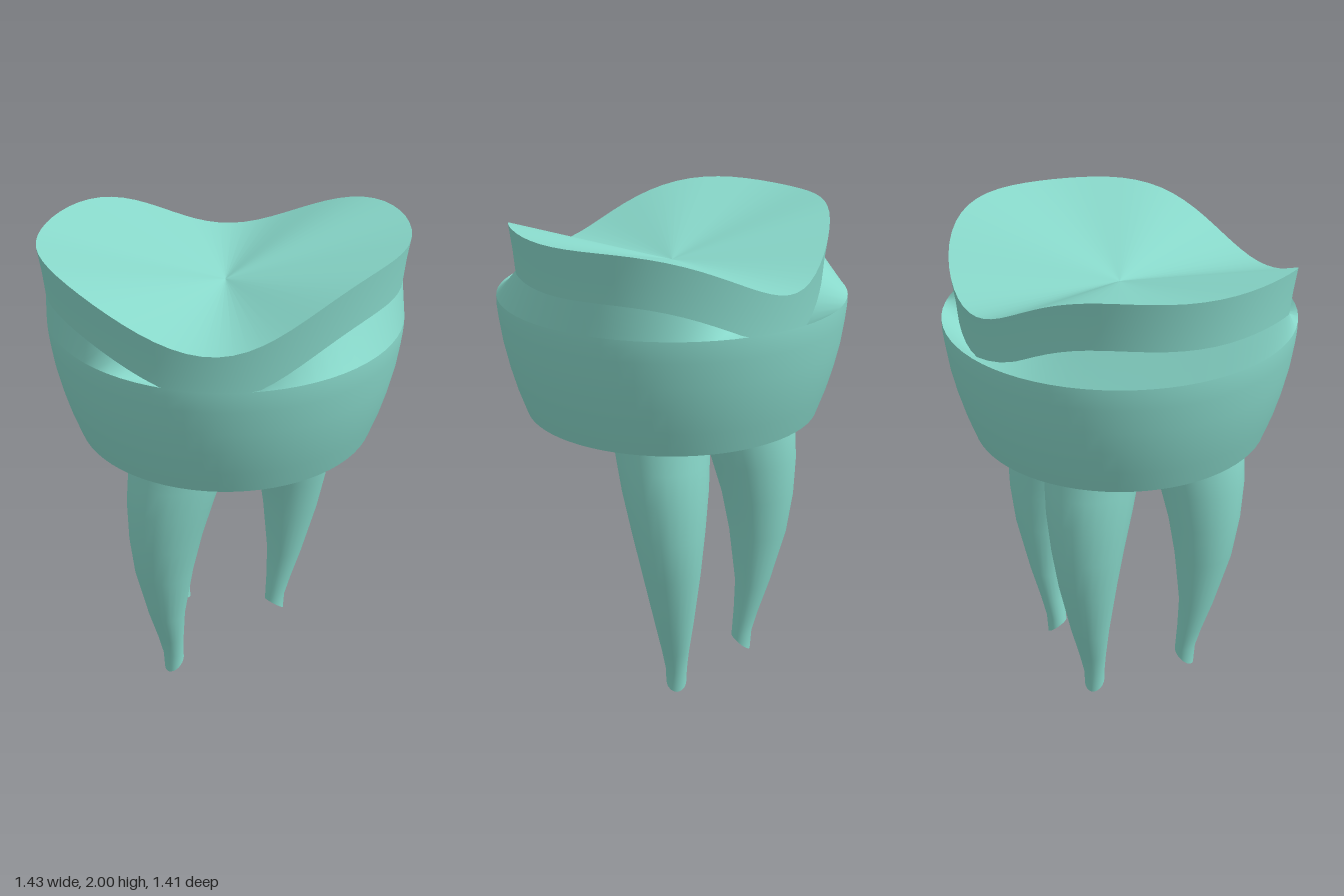
import * as THREE from 'three';

const enamel = new THREE.MeshStandardMaterial({ color: 0x88d8ca });
enamel.name = 'mint enamel';
const TAU = Math.PI * 2;

// Skin a stack of closed rings, ordered so that faces point outward.
// Each ring is a function of the angle giving [x, y, z].
function loft(name, rings, n) {
  const pos = [], idx = [];
  for (const ring of rings) for (let j = 0; j < n; j++) pos.push(...ring(j / n * TAU));
  for (let i = 0; i < rings.length - 1; i++) for (let j = 0; j < n; j++) {
    const a = i * n + j, b = i * n + (j + 1) % n;
    idx.push(a, a + n, b, b, a + n, b + n);
  }
  const g = new THREE.BufferGeometry();
  g.setAttribute('position', new THREE.Float32BufferAttribute(pos, 3));
  g.setIndex(idx);
  g.computeVertexNormals();
  const mesh = new THREE.Mesh(g, enamel);
  mesh.name = name;
  return mesh;
}

const circle = (r, y) => t => [r * Math.cos(t), y, r * Math.sin(t)];

// Wavy biting edge: two high cusps and two valleys
const rimRadius = t => 0.67 + 0.038 * Math.cos(2 * t) + 0.045 * Math.sin(2 * t);
const rimHeight = t => 1.926 + 0.1075 * Math.sin(2 * t) + 0.034 * Math.cos(4 * t);
const rim = (scale, drop) => t => {
  const r = rimRadius(t) * scale;
  return [r * Math.cos(t), rimHeight(t) - drop, r * Math.sin(t)];
};

function makeCrown() {
  const crown = new THREE.Group();
  crown.name = 'crown';
  const n = 72;
  const body = [[0.602, 1.2], [0.637, 1.3], [0.665, 1.4], [0.687, 1.5], [0.701, 1.6], [0.706, 1.65], [0.706, 1.685]];
  crown.add(
    loft('crownUnderside', [circle(0, 1.2), circle(0.602, 1.2)], n),
    loft('crownBody', body.map(p => circle(...p)), n),
    loft('crownShoulder', [circle(0.706, 1.685), rim(0.968, 0.19)], n),
    loft('crownWall', [rim(0.968, 0.19), rim(0.98, 0.1), rim(1, 0)], n),
    loft('bitingSurface', [rim(1, 0), circle(0, 1.805)], n)
  );
  return crown;
}

// Root along +x: [y, outer x, inner x, half width, sideways shift]
const rootSections = [
  [0.05, 0.352, 0.268, 0.043, 0],
  [0.1, 0.358, 0.27, 0.045, 0],
  [0.2, 0.385, 0.276, 0.058, 0.005],
  [0.35, 0.432, 0.28, 0.082, 0.012],
  [0.6, 0.498, 0.25, 0.122, 0.025],
  [0.78, 0.523, 0.215, 0.15, 0.036],
  [0.95, 0.53, 0.165, 0.175, 0.047],
  [1.08, 0.522, 0.115, 0.188, 0.055],
  [1.25, 0.495, 0.09, 0.2, 0.065]
];

function makeRoot(name, turn, lean) {
  const n = 24;
  const rings = rootSections.map(([y, out, inn, half, shift], i) => t => {
    const c = Math.cos(t);
    // the lowest ring is cut on a slant
    return [(out + inn) / 2 + (out - inn) / 2 * c, i ? y : 0.04 - 0.035 * c, shift * lean + half * Math.sin(t)];
  });
  const root = new THREE.Group();
  root.name = name;
  root.add(
    loft('rootSides', rings, n),
    loft('rootTip', [() => [0.31, 0.04, 0], rings[0]], n)
  );
  root.rotation.y = turn;
  return root;
}

export function createModel() {
  const model = new THREE.Group();
  model.name = 'tooth';
  model.add(
    makeCrown(),
    makeRoot('leftRoot', 0, 1),
    makeRoot('rightRoot', Math.PI, -1),
    makeRoot('backRoot', Math.PI / 2, 0)
  );

  // Bridge where the roots meet
  const bridge = new THREE.Group();
  bridge.name = 'rootBridge';
  bridge.add(
    loft('bridgeSides', [[0.13, 1.045], [0.18, 1.08], [0.22, 1.13], [0.25, 1.23]].map(p => circle(...p)), 24),
    loft('bridgeBottom', [circle(0, 1.04), circle(0.13, 1.045)], 24)
  );
  bridge.position.z = 0.03;
  model.add(bridge);
  return model;
}
